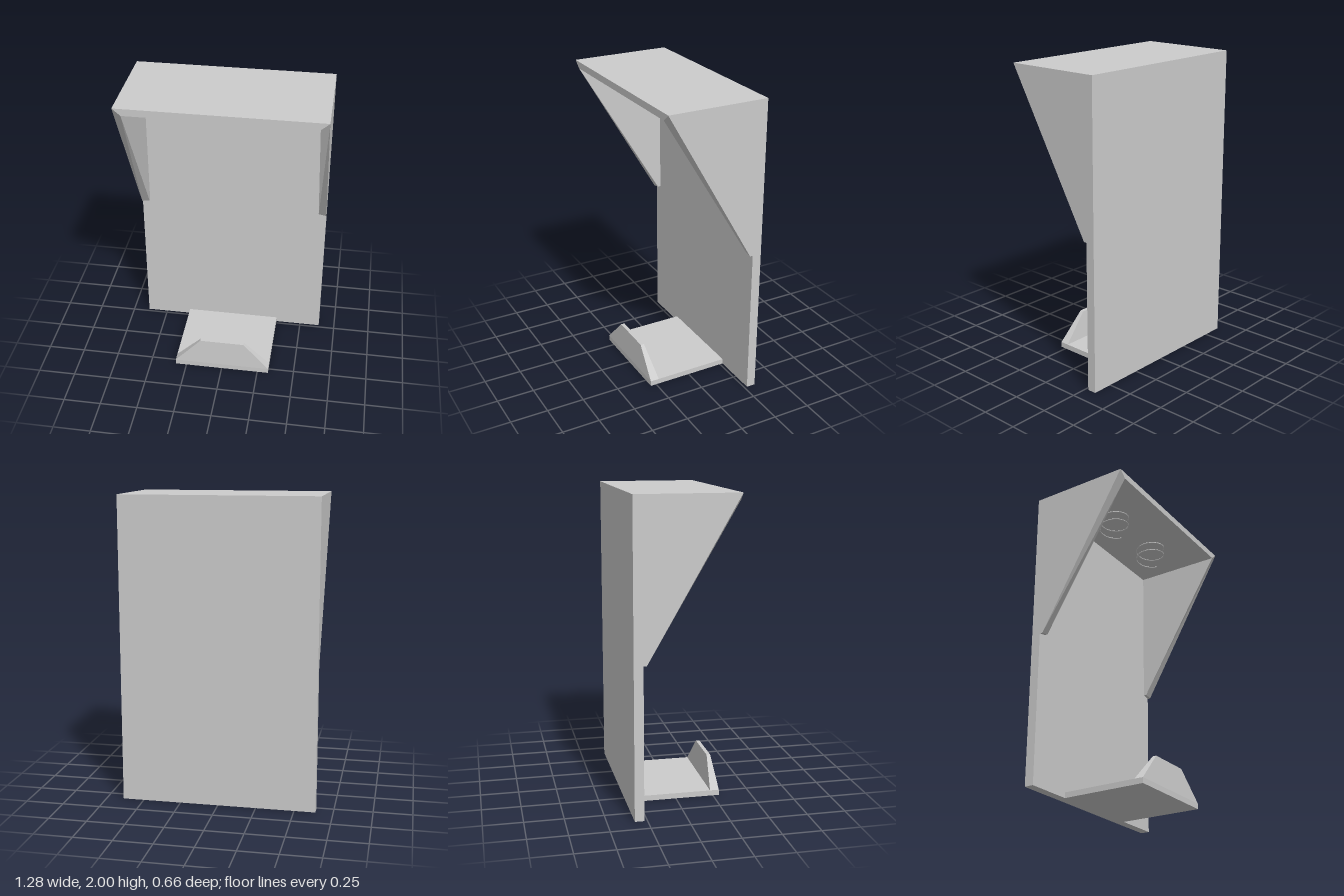
import * as THREE from 'three';

const material = new THREE.MeshStandardMaterial({ color: 0xcccccc, flatShading: true });
const wireMaterial = new THREE.MeshStandardMaterial({ color: 0xcccccc });

// Solid between two matching outlines; a runs counter-clockwise seen from outside
function loft(a, b) {
  const points = [];
  const quad = (p, q, r, s) => points.push(...p, ...q, ...r, ...p, ...r, ...s);
  quad(a[0], a[1], a[2], a[3]);
  quad(b[3], b[2], b[1], b[0]);
  for (let i = 0; i < 4; i++) {
    const j = (i + 1) % 4;
    quad(a[i], b[i], b[j], a[j]);
  }
  const geometry = new THREE.BufferGeometry();
  geometry.setAttribute('position', new THREE.Float32BufferAttribute(points, 3));
  geometry.computeVertexNormals();
  return geometry;
}

// Horizontal rectangle, counter-clockwise from above
const rect = (x, y, back, front) => [[-x, y, front], [x, y, front], [x, y, back], [-x, y, back]];

// Side wall outline at a given x
const wall = (x, low, high) => [[x, low, -0.27], [x, high, -0.27], [x, high, 0.33], [x, low, -0.25]];

// Coil hanging below the hood
class Helix extends THREE.Curve {
  getPoint(t, target = new THREE.Vector3()) {
    const angle = t * Math.PI * 4;
    return target.set(0.098 * Math.cos(angle), 1.963 - 0.118 * t, 0.098 * Math.sin(angle));
  }
}

export function createModel() {
  const group = new THREE.Group();
  const add = (name, geometry, x = 0, y = 0, z = 0, mat = material) => {
    const mesh = new THREE.Mesh(geometry, mat);
    mesh.name = name;
    mesh.position.set(x, y, z);
    group.add(mesh);
  };

  // Upright back and small tray
  add('backPanel', new THREE.BoxGeometry(1.276, 2, 0.06), 0, 1, -0.3);
  add('tray', new THREE.BoxGeometry(0.65, 0.036, 0.56), 0, 0.018, 0.01);

  // Tapered lip at the tray's front edge
  add('trayLip', loft(rect(0.15, 0.22, 0.25, 0.275), rect(0.325, 0.036, 0.23, 0.29)));

  // Hood: top mitred into two sloping side walls
  add('hoodTop', loft(rect(0.638, 2, -0.27, 0.33), rect(0.586, 1.955, -0.27, 0.33)));
  add('leftHoodSide', loft(wall(0.638, 0.985, 2), wall(0.586, 0.995, 1.955)));
  add('rightHoodSide', loft(wall(-0.586, 0.995, 1.955), wall(-0.638, 0.985, 2)));

  // Two wire coils under the hood
  const coil = new THREE.TubeGeometry(new Helix(), 96, 0.004, 6);
  add('leftCoil', coil, 0.218, 0, 0.02, wireMaterial);
  add('rightCoil', coil, -0.248, 0, 0.02, wireMaterial);

  return group;
}
